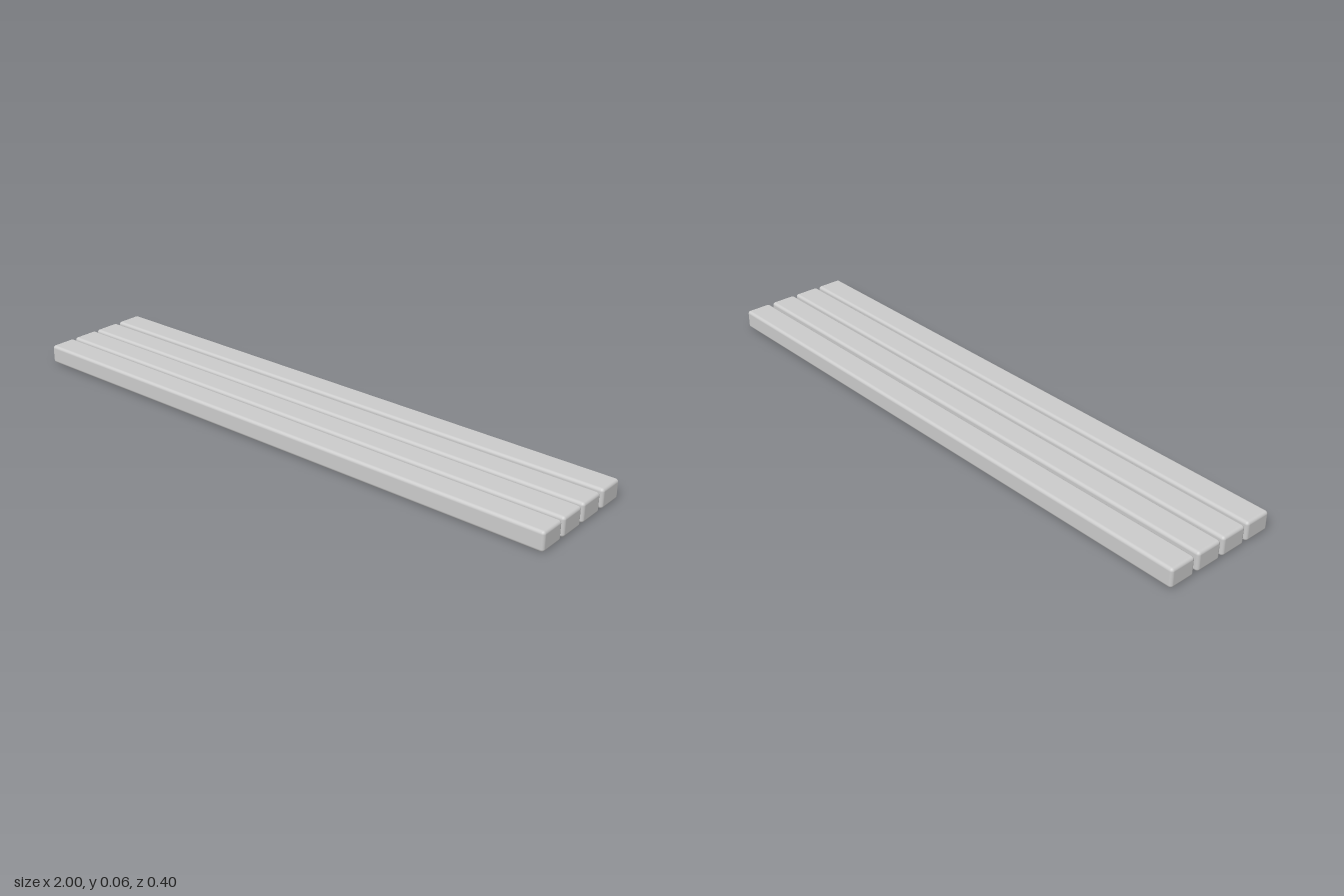
import * as THREE from 'three';
import { RoundedBoxGeometry } from 'three/addons/geometries/RoundedBoxGeometry.js';

const LENGTH = 2, HEIGHT = 0.064, WIDTH = 0.092, EDGE = 0.01;

export function createModel() {
  const model = new THREE.Group();
  model.name = 'plankDeck';

  const material = new THREE.MeshStandardMaterial({ color: 0xcccccc });
  const geometry = new RoundedBoxGeometry(LENGTH, HEIGHT, WIDTH, 3, EDGE);

  // Four parallel planks with softened edges and slightly uneven gaps
  [0.155, 0.053, -0.049, -0.155].forEach((z, i) => {
    const plank = new THREE.Mesh(geometry, material);
    plank.name = `plank${i + 1}`;
    plank.position.set(0, HEIGHT / 2, z);
    model.add(plank);
  });

  return model;
}
